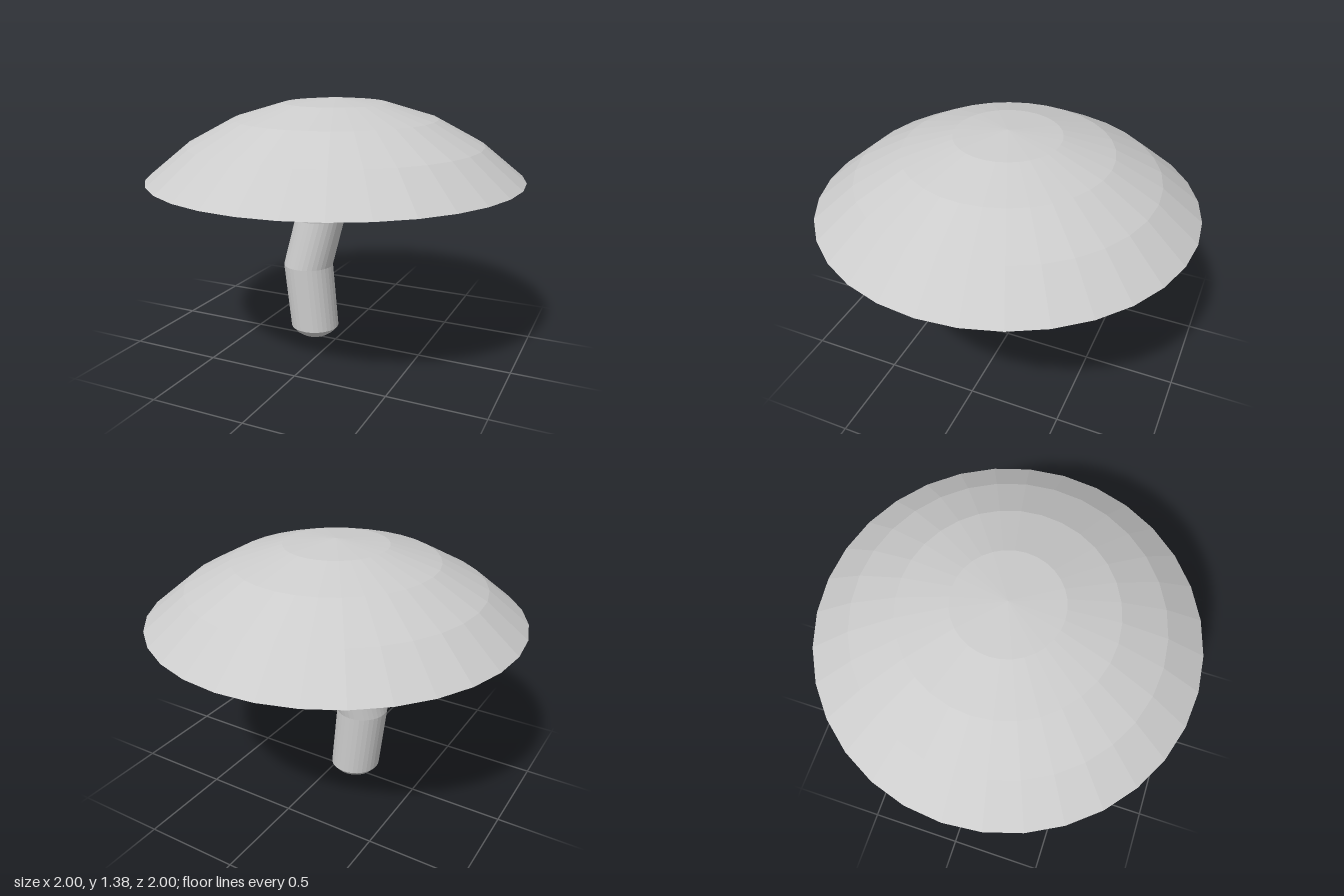
import * as THREE from 'three';

const SIDES = 32;
const material = new THREE.MeshStandardMaterial({ color: 0xcccccc, flatShading: true });

// Rounded foot: rings of a shallow spherical cap
const FOOT_RADIUS = 0.165;
const footRings = [0, 0.24, 0.48, 0.72].map((a) => [
  -0.132, 0.003 + FOOT_RADIUS * (1 - Math.cos(a)), -0.004, FOOT_RADIUS * Math.sin(a), 0,
]);

// Stem rings from the bottom up: centre x, y, z, radius, slope along z
const stemRings = [
  ...footRings,
  [-0.132, 0.073, -0.004, 0.135, 0],
  [-0.17, 0.437, -0.002, 0.139, 0],
  [-0.11, 0.718, -0.04, 0.14, -0.11],
  [-0.1, 0.97, -0.012, 0.139, 0],
  [-0.1, 1.03, -0.005, 0.139, 0],
];

// Skin a stack of slightly tilted rings; the top end is closed
function loft(rings) {
  const points = [], faces = [];
  for (const [x, y, z, r, slope] of rings) {
    for (let i = 0; i < SIDES; i++) {
      const a = i / SIDES * Math.PI * 2;
      const dx = Math.cos(a) * r, dz = Math.sin(a) * r;
      points.push(x + dx, y + dz * slope, z + dz);
    }
  }
  for (let j = 0; j < rings.length - 1; j++) {
    for (let i = 0; i < SIDES; i++) {
      const a = j * SIDES + i, b = j * SIDES + (i + 1) % SIDES;
      const c = a + SIDES, d = b + SIDES;
      if (j > 0) faces.push(a, d, b);
      faces.push(a, c, d);
    }
  }
  const top = (rings.length - 1) * SIDES;
  for (let i = 1; i < SIDES - 1; i++) faces.push(top, top + i + 1, top + i);
  const geometry = new THREE.BufferGeometry();
  geometry.setAttribute('position', new THREE.Float32BufferAttribute(points, 3));
  geometry.setIndex(faces);
  geometry.computeVertexNormals();
  return geometry;
}

export function createModel() {
  const group = new THREE.Group();
  group.name = 'mushroom';

  // Faceted dome with a slightly hollow underside
  const profile = [[0, 0.993], [1, 0.967], [0.785, 1.142], [0.541, 1.273], [0.276, 1.353], [0, 1.38]];
  const cap = new THREE.Mesh(
    new THREE.LatheGeometry(profile.map(([r, y]) => new THREE.Vector2(r, y)), SIDES),
    material,
  );
  cap.name = 'cap';
  group.add(cap);

  // Crooked stem with a rounded foot
  const stem = new THREE.Mesh(loft(stemRings), material);
  stem.name = 'stem';
  group.add(stem);

  return group;
}
